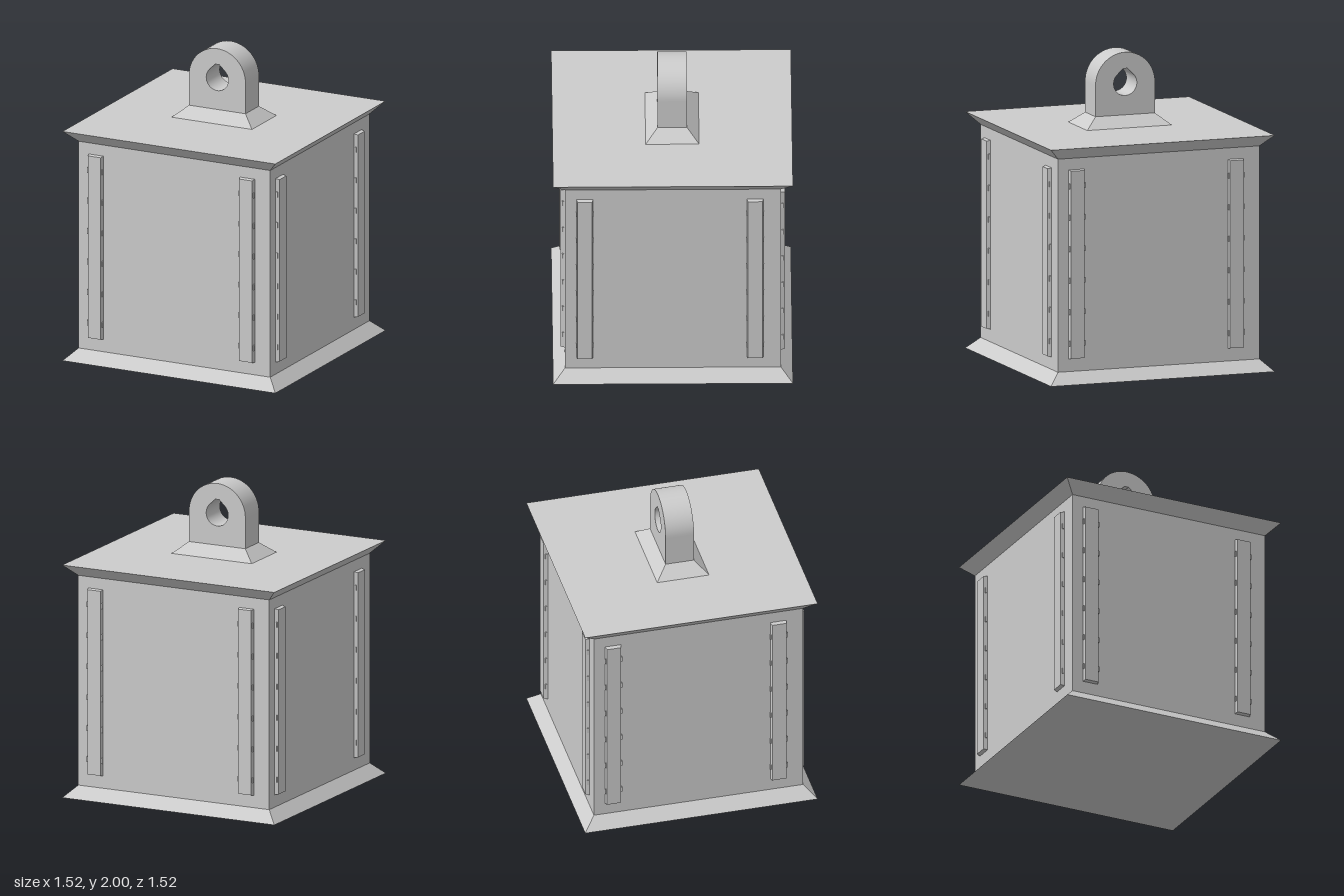
import * as THREE from 'three';

// Box from y0 to y1 whose top and bottom rectangles differ (half sizes)
function frustum(bx, bz, tx, tz, y0, y1) {
  const geo = new THREE.BoxGeometry(2, 1, 2).toNonIndexed();
  const p = geo.attributes.position;
  for (let i = 0; i < p.count; i++) {
    const top = p.getY(i) > 0;
    p.setXYZ(i, p.getX(i) * (top ? tx : bx), top ? y1 : y0, p.getZ(i) * (top ? tz : bz));
  }
  geo.computeVertexNormals();
  return geo;
}

export function createModel() {
  const model = new THREE.Group();
  const grey = new THREE.MeshStandardMaterial({ color: 0xcccccc });
  grey.name = 'grey';
  const add = (parent, geo, name) => {
    const mesh = new THREE.Mesh(geo, grey);
    mesh.name = name;
    parent.add(mesh);
    return mesh;
  };

  // Square block with flared foot and flared top
  add(model, frustum(0.762, 0.762, 0.686, 0.686, 0, 0.075), 'foot');
  add(model, frustum(0.686, 0.686, 0.686, 0.686, 0.075, 1.45), 'body');
  add(model, frustum(0.686, 0.686, 0.762, 0.762, 1.45, 1.525), 'topPlate');

  // Sloped base under the lifting lug
  add(model, frustum(0.288, 0.17, 0.202, 0.093, 1.525, 1.596), 'lugBase');

  // Rounded lug with a teardrop hole
  const lug = new THREE.Shape();
  lug.moveTo(-0.202, 1.596);
  lug.lineTo(0.202, 1.596);
  lug.lineTo(0.202, 1.798);
  lug.absarc(0, 1.798, 0.202, 0, Math.PI, false);
  lug.closePath();
  const hole = new THREE.Path();
  hole.absarc(0, 1.8, 0.079, Math.PI * 0.75, Math.PI * 2.25, false);
  hole.lineTo(0.014, 1.896);
  hole.lineTo(-0.014, 1.896);
  hole.closePath();
  lug.holes.push(hole);
  const lugGeo = new THREE.ExtrudeGeometry(lug, { depth: 0.186, bevelEnabled: false, curveSegments: 32 });
  lugGeo.translate(0, 0, -0.093);
  // Smooth the outer arc and the round part of the hole
  const p = lugGeo.attributes.position, n = lugGeo.attributes.normal;
  for (let i = 0; i < p.count; i++) {
    if (Math.abs(n.getZ(i)) > 0.5) continue;
    const x = p.getX(i), y = p.getY(i) - 1.8, r = Math.hypot(x, y);
    if (r > 0.19 && y > 0.003) n.setXYZ(i, x / r, y / r, 0);
    else if (r < 0.082 && y < 0.05) n.setXYZ(i, -x / r, -y / r, 0);
  }
  add(model, lugGeo, 'lug');

  // Two chamfered strips with small edge tabs on each of the four sides
  for (let side = 0; side < 4; side++) {
    const panel = new THREE.Group();
    panel.name = 'sideStrips' + (side + 1);
    panel.rotation.y = side * Math.PI / 2;
    for (const x of [-0.56, 0.523]) {
      const geo = frustum(0.053, 0.61, 0.046, 0.605, 0, 0.027);
      geo.rotateX(Math.PI / 2);
      geo.translate(x, 0.766, 0.685);
      add(panel, geo, 'strip');
      for (let i = 0; i < 6; i++) {
        const tab = new THREE.BoxGeometry(0.112, 0.035, 0.012);
        add(panel, tab, 'stripTab').position.set(x, 0.257 + i * 0.203, 0.697);
      }
    }
    model.add(panel);
  }
  return model;
}
